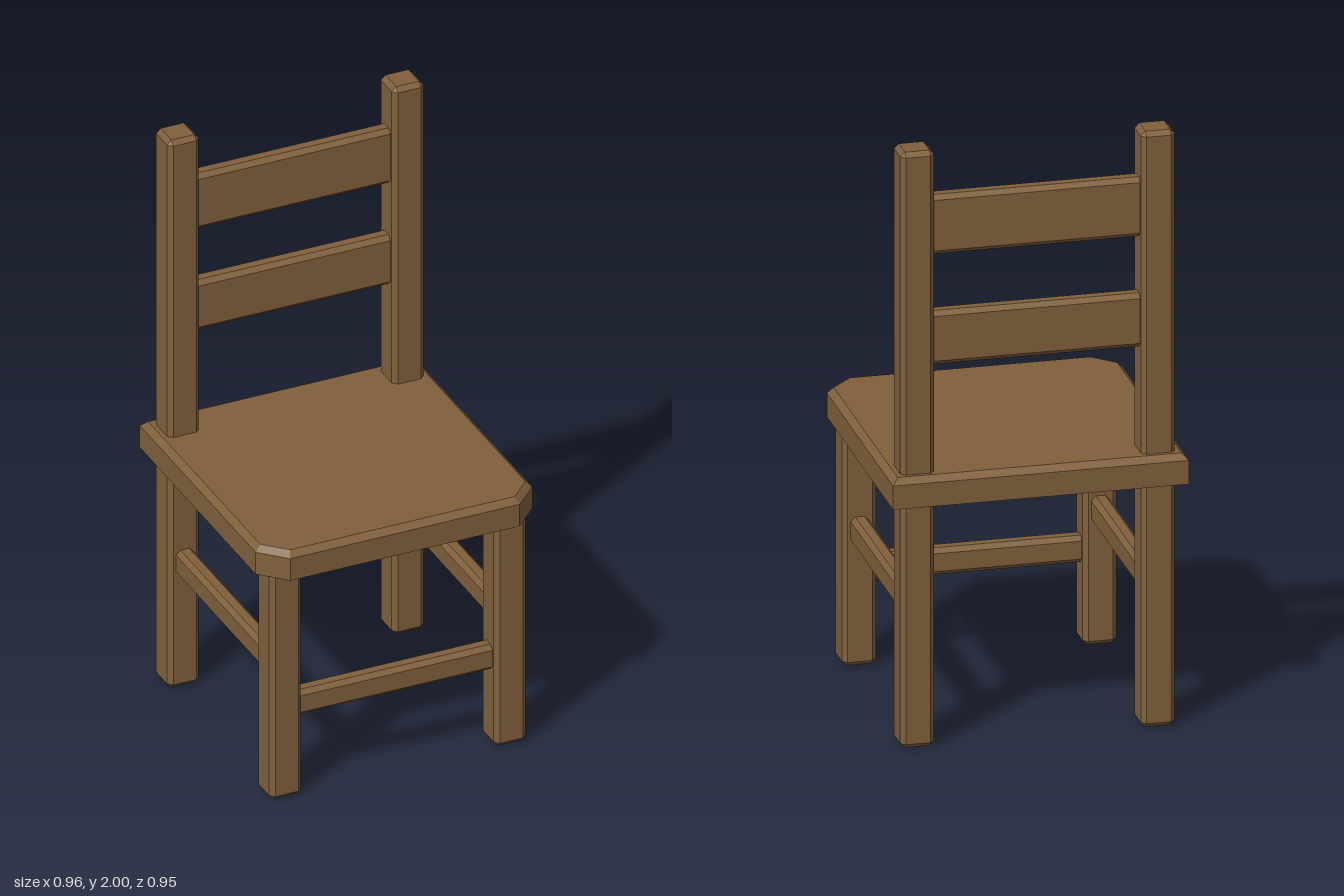
import * as THREE from 'three';
import { ConvexGeometry } from 'three/addons/geometries/ConvexGeometry.js';

// Box with every edge cut by a flat chamfer c
function chamferBox(w, h, d, c) {
  const points = [];
  for (const sx of [-1, 1]) for (const sy of [-1, 1]) for (const sz of [-1, 1]) {
    const x = w / 2, y = h / 2, z = d / 2;
    points.push(
      new THREE.Vector3(sx * x, sy * (y - c), sz * (z - c)),
      new THREE.Vector3(sx * (x - c), sy * y, sz * (z - c)),
      new THREE.Vector3(sx * (x - c), sy * (y - c), sz * z));
  }
  return new ConvexGeometry(points);
}

// Seat board: clipped front corners and a chamfered upper edge
function seatGeometry() {
  const ring = (y, inset) => {
    const x = 0.48 - inset, z = 0.473 - inset, cut = 0.082 - inset * 0.586;
    return [[x, -z], [x, z - cut], [x - cut, z], [cut - x, z], [-x, z - cut], [-x, -z]]
      .map(([px, pz]) => new THREE.Vector3(px, y, pz));
  };
  return new ConvexGeometry([...ring(0.82, 0), ...ring(0.9, 0), ...ring(0.92, 0.02)]);
}

export function createModel() {
  const chair = new THREE.Group();
  chair.name = 'chair';
  const wood = new THREE.MeshStandardMaterial({ color: 0x80603c });
  wood.name = 'brown wood';

  const add = (name, geometry, x = 0, y = 0, z = 0) => {
    const mesh = new THREE.Mesh(geometry, wood);
    mesh.name = name;
    mesh.position.set(x, y, z);
    chair.add(mesh);
  };
  const legX = 0.39, backZ = -0.385, frontZ = 0.375, c = 0.015;

  add('seat', seatGeometry());

  // Legs and side stretchers, mirrored
  for (const [side, s] of [['left', 1], ['right', -1]]) {
    add(side + 'BackPost', chamferBox(0.11, 2, 0.11, c), s * legX, 1, backZ);
    add(side + 'FrontLeg', chamferBox(0.11, 0.84, 0.11, c), s * legX, 0.42, frontZ);
    add(side + 'Stretcher', chamferBox(0.06, 0.09, 0.7, c), s * legX, 0.457, -0.005);
  }

  // Cross pieces
  add('frontStretcher', chamferBox(0.72, 0.09, 0.06, c), 0, 0.315, frontZ);
  add('upperBackSlat', chamferBox(0.72, 0.2, 0.06, c), 0, 1.74, backZ);
  add('lowerBackSlat', chamferBox(0.72, 0.18, 0.06, c), 0, 1.36, backZ);

  return chair;
}
